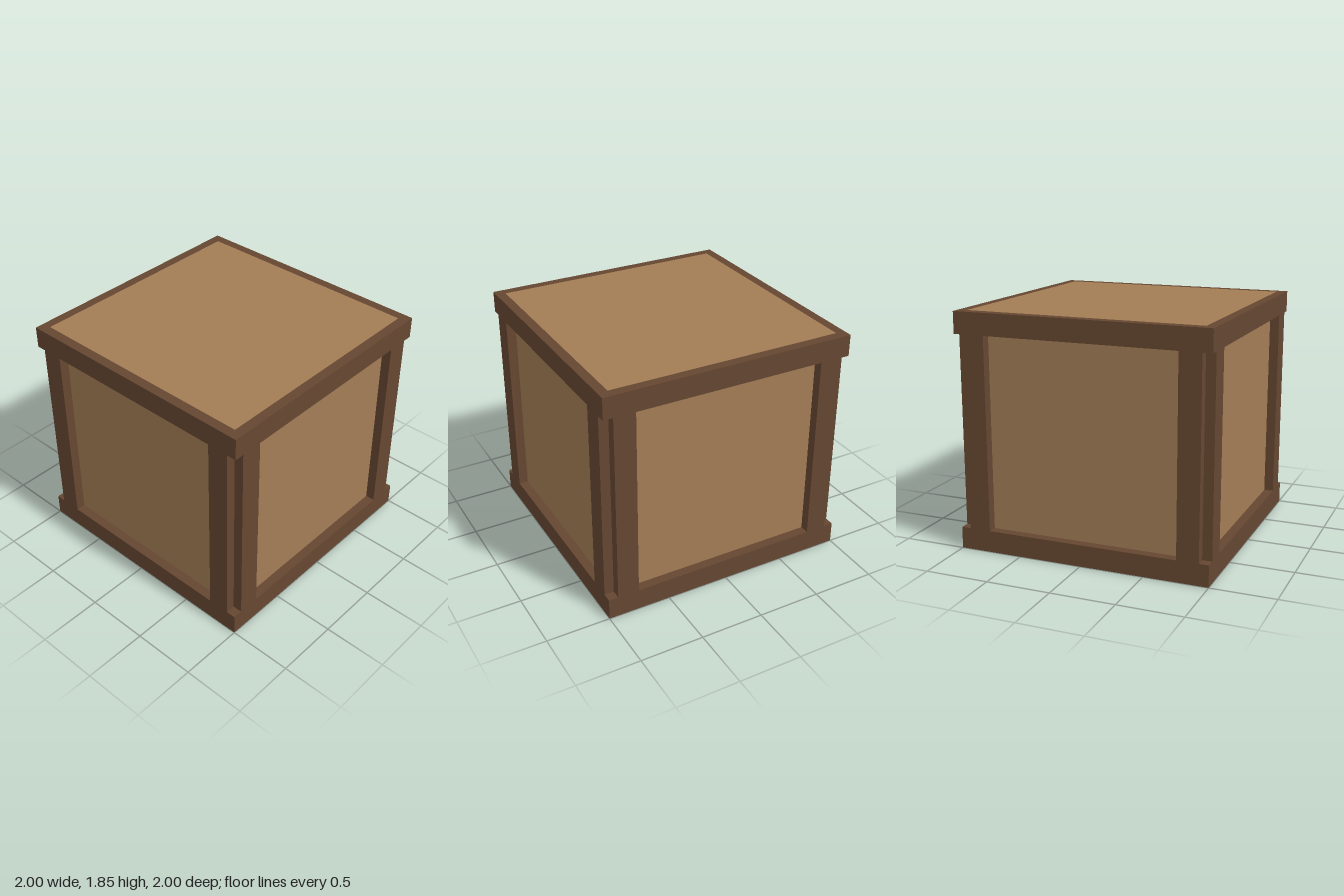
import * as THREE from 'three';

const SIZE = 2, CORE = 1.85, BEAM = 0.17, EPS = 0.001;

export function createModel() {
  const crate = new THREE.Group();
  crate.name = 'crate';
  const panelWood = new THREE.MeshStandardMaterial({ color: 0xa37d55 });
  const frameWood = new THREE.MeshStandardMaterial({ color: 0x664731 });

  const addBox = (parent, name, material, [w, h, d], [x, y, z]) => {
    const mesh = new THREE.Mesh(new THREE.BoxGeometry(w, h, d), material);
    mesh.name = name;
    mesh.position.set(x, y, z);
    parent.add(mesh);
  };

  // Inner box whose faces show as the panels
  addBox(crate, 'panels', panelWood, [CORE, CORE, CORE], [0, CORE / 2, 0]);

  // Top and bottom frames, a hair inside the panel faces so those stay visible
  addBox(crate, 'bottomFrame', frameWood, [SIZE, BEAM - EPS, SIZE], [0, (BEAM + EPS) / 2, 0]);
  addBox(crate, 'topFrame', frameWood, [SIZE, BEAM - EPS, SIZE], [0, CORE - (BEAM + EPS) / 2, 0]);

  // Two upright battens on each of the four sides, leaving a notch at every corner
  const depth = (SIZE - CORE) / 2;
  for (let i = 0; i < 4; i++) {
    const side = new THREE.Group();
    side.name = ['front', 'left', 'back', 'right'][i] + 'Battens';
    side.rotation.y = i * Math.PI / 2;
    for (const s of [-1, 1]) {
      addBox(side, 'batten', frameWood, [BEAM, CORE - 2 * BEAM, depth],
        [s * (CORE - BEAM) / 2, CORE / 2, (CORE + depth) / 2]);
    }
    crate.add(side);
  }
  return crate;
}
